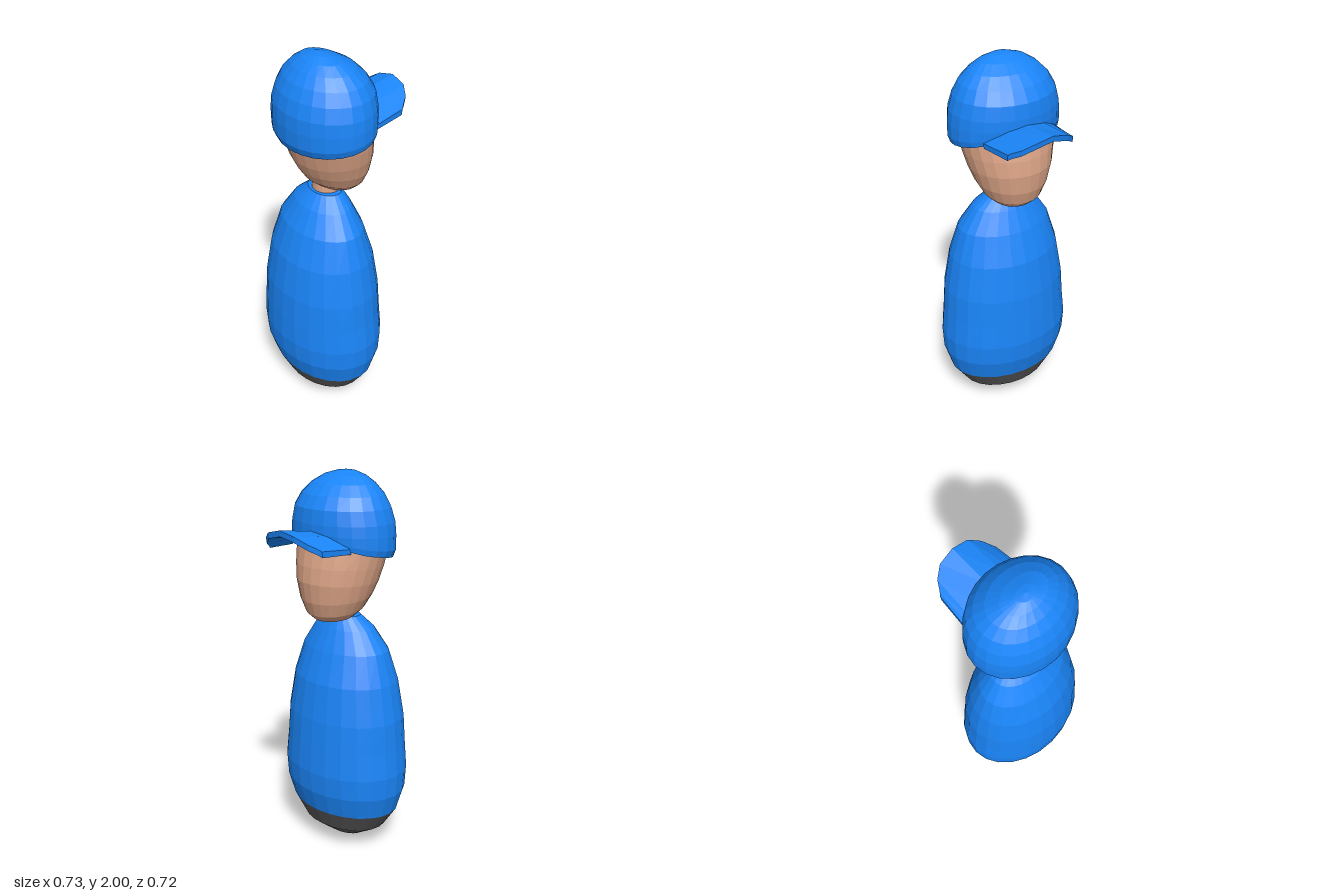
import * as THREE from 'three';

const SEG = 24;

function material(color) {
  return new THREE.MeshStandardMaterial({ color, flatShading: true, side: THREE.DoubleSide });
}

// Grid of points to an indexed surface; rows run upward, columns run round
function gridGeometry(rows) {
  const cols = rows[0].length, index = [];
  for (let r = 0; r < rows.length - 1; r++) {
    for (let c = 0; c < cols; c++) {
      const d = (c + 1) % cols, a = r * cols, b = a + cols;
      index.push(a + c, b + c, b + d, a + c, b + d, a + d);
    }
  }
  const g = new THREE.BufferGeometry();
  g.setAttribute('position', new THREE.Float32BufferAttribute(rows.flat(2), 3));
  g.setIndex(index);
  g.computeVertexNormals();
  return g;
}

// Elliptical sections [y, xBack, xFront, zRadius, slant, frontLift]
function loft(name, color, sections, cz = 0) {
  const rows = sections.map(([y, x0, x1, rz, slant = 0, lift = 0]) => {
    const cx = (x0 + x1) / 2, rx = (x1 - x0) / 2;
    return Array.from({ length: SEG }, (_, i) => {
      const a = (i / SEG) * Math.PI * 2, c = Math.cos(a);
      return [cx + rx * c, y + slant * rx * c + lift * Math.max(0, c) ** 4, cz - rz * Math.sin(a)];
    });
  });
  const mesh = new THREE.Mesh(gridGeometry(rows), material(color));
  mesh.name = name;
  return mesh;
}

// Arched cap brim: a closed cross-section at each step across z
function brim(color) {
  const rows = [];
  const outline = [[-1, 0.265], [-0.93, 0.28], [-0.78, 0.32], [-0.48, 0.355], [0, 0.363],
    [0.48, 0.355], [0.78, 0.32], [0.93, 0.28], [1, 0.265]];
  for (const [t, xOut] of outline) {
    const z = 0.01 + 0.2 * t * (1 - 0.02 * Math.abs(t));
    const xIn = 0.135 - 0.05 * t * t;
    const arch = 1 - t * t;
    const yIn = 1.655 + 0.07 * arch, yOut = 1.668 + 0.09 * arch;
    const zOut = 0.01 + (z - 0.01) * 0.9;
    rows.push([[xIn, yIn, z], [xOut, yOut, zOut], [xOut - 0.005, yOut - 0.03, zOut], [xIn, yIn - 0.025, z]]);
  }
  // Close the two ends
  const closed = (row) => {
    const mid = [0, 1, 2].map((k) => row.reduce((s, p) => s + p[k], 0) / 4);
    return row.map(() => mid);
  };
  rows.unshift(closed(rows[0]));
  rows.push(closed(rows[rows.length - 1]));
  const mesh = new THREE.Mesh(gridGeometry(rows.reverse()), material(color));
  mesh.name = 'capBrim';
  return mesh;
}

export function createModel() {
  const model = new THREE.Group();
  model.name = 'figure';
  const blue = 0x1a85f8, skin = 0xdca486, dark = 0x555555;

  // Dark rounded base
  model.add(loft('base', dark, [
    [0, -0.09, -0.09, 0],
    [0.005, -0.12, -0.06, 0.06],
    [0.03, -0.16, -0.02, 0.11],
    [0.12, -0.27, 0.095, 0.25],
    [0.225, -0.32, 0.14, 0.32],
  ]));

  // Egg-shaped torso
  model.add(loft('torso', blue, [
    [0.225, -0.32, 0.14, 0.32],
    [0.345, -0.357, 0.175, 0.355],
    [0.46, -0.367, 0.185, 0.36],
    [0.6, -0.362, 0.177, 0.345],
    [0.75, -0.352, 0.167, 0.335],
    [0.945, -0.32, 0.138, 0.3],
    [1.105, -0.265, 0.085, 0.25],
    [1.215, -0.2, 0.037, 0.175],
    [1.28, -0.14, 0.005, 0.1],
    [1.285, -0.07, -0.07, 0],
  ]));

  // Neck
  model.add(loft('neck', skin, [
    [1.22, -0.13, 0.0, 0.075],
    [1.3, -0.125, 0.01, 0.075],
    [1.4, -0.12, 0.02, 0.075],
  ]));

  // Head, tapering to the chin
  model.add(loft('head', skin, [
    [1.262, 0.02, 0.02, 0],
    [1.266, -0.03, 0.06, 0.05, -0.1],
    [1.287, -0.1, 0.105, 0.11, -0.15],
    [1.325, -0.155, 0.14, 0.15, -0.15],
    [1.39, -0.195, 0.163, 0.185, -0.1],
    [1.47, -0.225, 0.174, 0.213],
    [1.55, -0.25, 0.165, 0.232],
    [1.64, -0.265, 0.145, 0.248],
    [1.75, -0.265, 0.125, 0.24],
    [1.86, -0.22, 0.08, 0.18],
    [1.93, -0.09, -0.09, 0],
  ]));

  // Cap crown with its slanted rim, turned in against the head
  model.add(loft('capCrown', blue, [
    [1.61, -0.255, 0.135, 0.24, 0.16, 0.05],
    [1.603, -0.28, 0.15, 0.275, 0.16, 0.05],
    [1.635, -0.297, 0.153, 0.285, 0.12, 0.04],
    [1.7, -0.3, 0.156, 0.284, 0.05],
    [1.76, -0.296, 0.155, 0.278],
    [1.83, -0.277, 0.146, 0.258],
    [1.89, -0.247, 0.11, 0.225],
    [1.94, -0.207, 0.058, 0.175],
    [1.975, -0.165, -0.005, 0.12],
    [1.995, -0.13, -0.06, 0.05],
    [2.0, -0.095, -0.095, 0],
  ], 0.005));

  // Arched brim
  model.add(brim(blue));

  return model;
}
